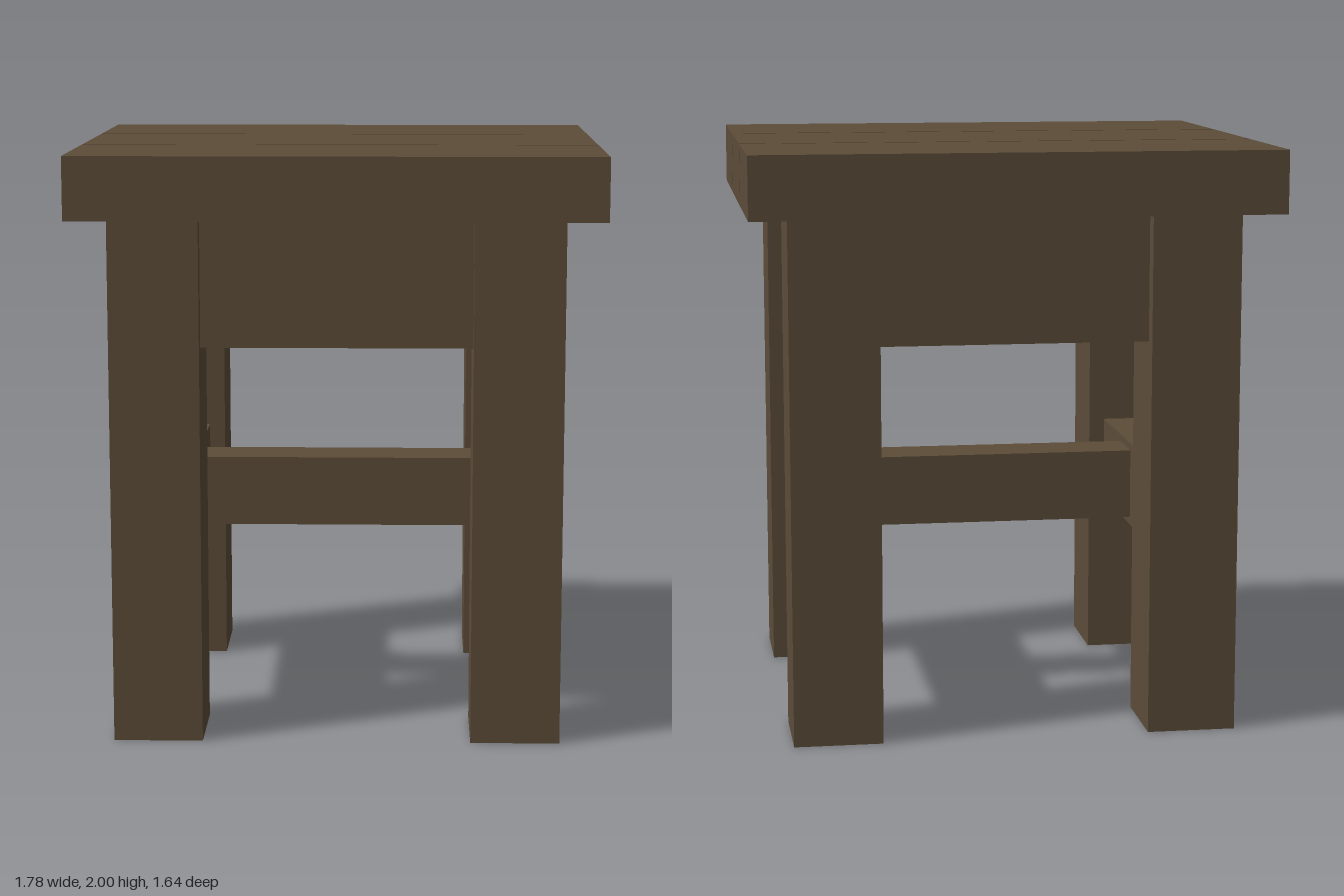
import * as THREE from 'three';

export function createModel() {
  const group = new THREE.Group();
  const wood = new THREE.MeshStandardMaterial({ color: 0x5d4d39 });
  wood.name = 'dark wood';

  // Box beam given by its size, the height of its underside and its centre
  function beam(name, width, height, depth, x, bottom, z) {
    const mesh = new THREE.Mesh(new THREE.BoxGeometry(width, height, depth), wood);
    mesh.name = name;
    mesh.position.set(x, bottom + height / 2, z);
    group.add(mesh);
  }

  // Seat: three planks with narrow gaps
  for (const i of [-1, 0, 1]) beam('seatPlank', 1.78, 0.213, 0.534, 0, 1.787, i * 0.551);

  // Four square legs
  for (const x of [-1, 1]) {
    for (const z of [-1, 1]) beam('leg', 0.303, 1.787, 0.303, x * 0.608, 0, z * 0.567);
  }

  for (const side of [-1, 1]) {
    // Deep aprons under the seat, front and back
    beam('apron', 0.914, 0.437, 0.19, 0, 1.35, side * 0.567);
    // Low rails joining the legs on each side
    beam('sideRail', 0.19, 0.3, 0.83, side * 0.608, 0.592, 0);
  }

  // Stretcher between the side rails
  beam('centreStretcher', 1.026, 0.247, 0.19, 0, 0.619, 0);

  return group;
}
